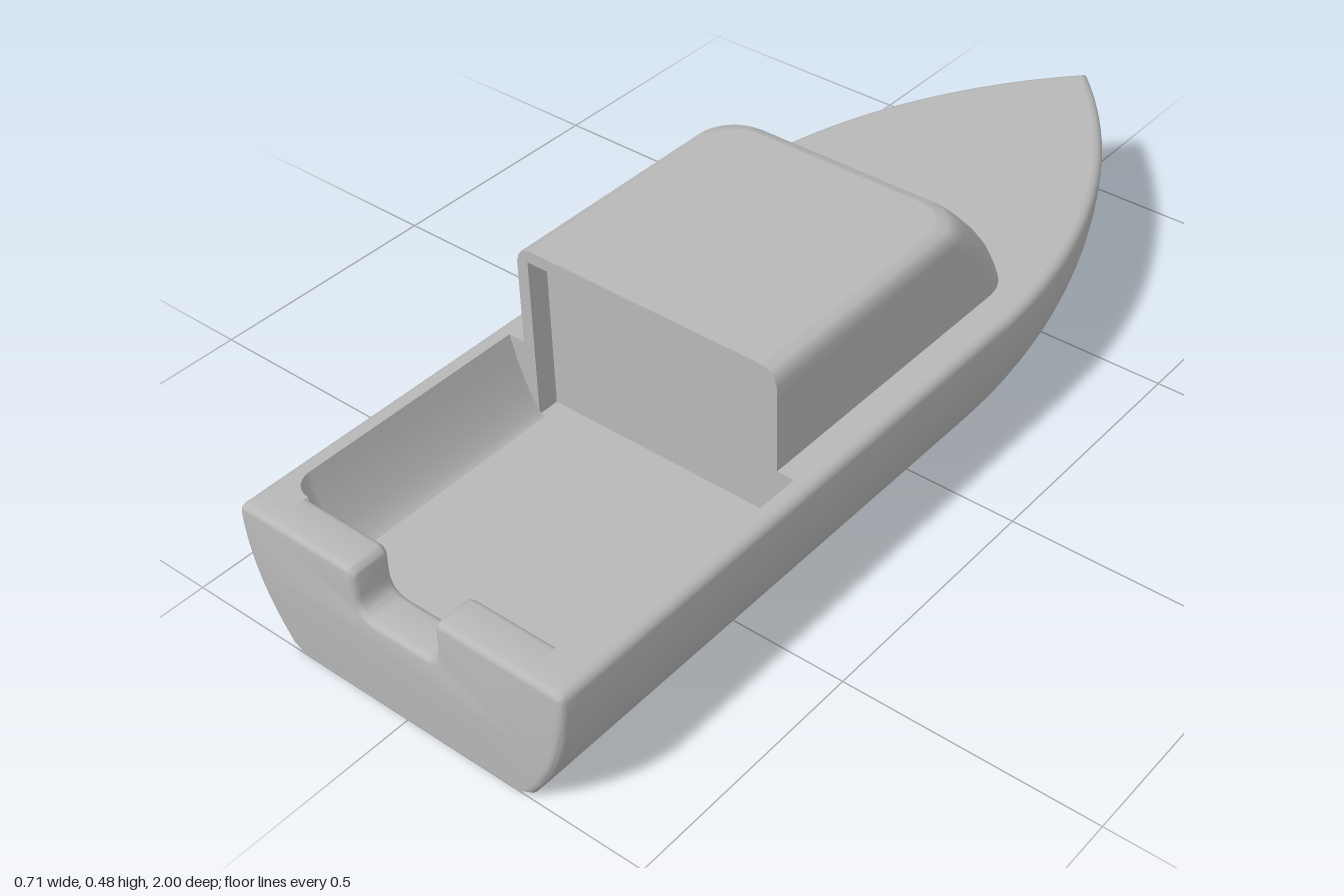
import * as THREE from 'three';
import { toCreasedNormals } from 'three/addons/utils/BufferGeometryUtils.js';

const DECK = 0.272, FLOOR = 0.12, BEAM = 0.355;

// Surface through rows of [x, y, z] points
function loft(rows) {
  const n = rows[0].length, idx = [];
  for (let i = 0; i < rows.length - 1; i++) {
    for (let j = 0; j < n - 1; j++) {
      const a = i * n + j, b = a + 1, c = a + n, d = c + 1;
      idx.push(a, b, d, a, d, c);
    }
  }
  const g = new THREE.BufferGeometry();
  g.setAttribute('position', new THREE.Float32BufferAttribute(rows.flat(2), 3));
  g.setIndex(idx);
  g.computeVertexNormals();
  return g;
}

const mirror = (pts) => pts.map(([x, ...rest]) => [-x, ...rest]).reverse();

// Flat face from [x, y] points
const face = (pts) => new THREE.ShapeGeometry(new THREE.Shape(pts.map(([x, y]) => new THREE.Vector2(x, y))));

// Horizontal face from [x, z] points at height y
const level = (pts, y) => face(pts.map(([x, z]) => [x, -z])).rotateX(-Math.PI / 2).translate(0, y, 0);

// Hull half section: [inset from full beam, height]
function hullProfile(yMin) {
  const R = 0.41, r = 0.018, top = DECK - r, out = [];
  for (let i = 0; i <= 10; i++) {
    const y = yMin + (top - yMin) * i / 10;
    out.push([R - Math.sqrt(R * R - (top - y) ** 2), y]);
  }
  for (let i = 1; i <= 4; i++) {
    const a = i / 4 * Math.PI / 2;
    out.push([r * (1 - Math.cos(a)), top + r * Math.sin(a)]);
  }
  return out;
}

// Half waterline from stern to bow tip: [x, z]
function waterline(inset) {
  const R = 1.195, r = R - inset, cx = BEAM - R, end = Math.acos(-cx / r);
  const pts = [[BEAM - inset, 0.97], [BEAM - inset, 0.4]];
  for (let i = 0; i <= 28; i++) {
    const a = end * i / 28;
    pts.push([Math.max(0, cx + r * Math.cos(a)), -0.15 - r * Math.sin(a)]);
  }
  return pts;
}

// Half cockpit wall with rounded aft corner: [x, z]
function cockpitEdge(w) {
  const r = 0.045, pts = [[w, 0.4]];
  for (let i = 0; i <= 6; i++) {
    const a = i / 6 * Math.PI / 2;
    pts.push([w - r + r * Math.cos(a), 0.875 + r * Math.sin(a)]);
  }
  return pts;
}

// Cabin outline with rounded front corners: [x, z]
function cabinOutline(w, zf, r) {
  const half = [[w, 0.4]];
  for (let i = 0; i <= 8; i++) {
    const a = i / 8 * Math.PI / 2;
    half.push([w - r + r * Math.cos(a), zf + r - r * Math.sin(a)]);
  }
  return [...half, ...mirror(half)];
}

export function createModel() {
  const group = new THREE.Group();
  const grey = new THREE.MeshStandardMaterial({ color: 0xb8b8b8, side: THREE.DoubleSide });
  grey.name = 'hull grey';
  const add = (name, geometry) => {
    const m = new THREE.Mesh(geometry, grey);
    m.name = name;
    group.add(m);
  };

  // Hull sides, meeting in a sharp stem
  const rows = hullProfile(0).map(([o, y]) => waterline(o).map(([x, z]) => [x, y, z]));
  add('leftHullSide', loft(rows));
  add('rightHullSide', loft(rows.map(mirror)));

  // Flat bottom
  const keel = waterline(hullProfile(0)[0][0]);
  add('hullBottom', level([...keel, ...mirror(keel).slice(1)], 0).scale(1, -1, 1));

  // Deck with the cockpit and doorway cut out
  const rim = waterline(0.018);
  const well = [[0.26, 0.355], [0.26, 0.4], ...cockpitEdge(0.32), [0.275, 0.97]];
  add('deck', level([...rim, ...mirror(rim).slice(1), ...mirror(well), ...well], DECK));

  // Transom with a rounded notch
  const s = new THREE.Shape();
  const section = hullProfile(-0.02).map(([o, y]) => [BEAM - o, y]);
  section.forEach(([x, y], i) => (i ? s.lineTo(x, y) : s.moveTo(x, y)));
  s.lineTo(0.108, DECK);
  s.quadraticCurveTo(0.088, DECK, 0.088, 0.25);
  s.lineTo(0.088, 0.212);
  s.quadraticCurveTo(0.086, 0.179, 0.055, 0.179);
  s.lineTo(-0.055, 0.179);
  s.quadraticCurveTo(-0.086, 0.179, -0.088, 0.212);
  s.lineTo(-0.088, 0.25);
  s.quadraticCurveTo(-0.088, DECK, -0.108, DECK);
  mirror(section).forEach(([x, y]) => s.lineTo(x, y));
  const b = 0.012;
  const transom = new THREE.ExtrudeGeometry(s, {
    depth: 0.08 - 2 * b, bevelThickness: b, bevelSize: b, bevelOffset: -b, bevelSegments: 3, curveSegments: 6,
  }).translate(0, 0, 0.92 + b);
  const p = transom.attributes.position;
  for (let i = 0; i < p.count; i++) p.setY(i, Math.max(0, p.getY(i)));
  add('transom', toCreasedNormals(transom, 0.6));

  // Cockpit walls and floor
  const wall = [[0.32, DECK], [0.305, 0.22], [0.282, 0.165], [0.262, 0.13], [0.248, FLOOR]]
    .map(([w, y]) => cockpitEdge(w).map(([x, z]) => [x, y, z]));
  add('leftCockpitWall', loft(wall));
  add('rightCockpitWall', loft(wall.map(mirror)));
  add('cockpitFloor', level([[-0.26, 0.93], [0.26, 0.93], [0.26, 0.355], [-0.26, 0.355]], FLOOR));

  // Cabin shell: [height, front z, inset, corner radius]
  const layers = [
    [0.27, -0.312, 0, 0.09], [0.31, -0.294, 0, 0.09], [0.35, -0.271, 0, 0.09], [0.39, -0.24, 0, 0.09],
    [0.42, -0.212, 0, 0.09], [0.447, -0.186, 0, 0.088], [0.464, -0.168, 0.005, 0.085],
    [0.475, -0.154, 0.014, 0.08], [0.48, -0.135, 0.033, 0.07],
  ];
  add('cabinShell', loft(layers.map(([y, zf, o, r]) => cabinOutline(0.285 - o, zf, r).map(([x, z]) => [x, y, z]))));
  add('cabinRoof', level(cabinOutline(0.252, -0.135, 0.07), 0.48));

  // Frame around the cabin doorway, reaching down to the cockpit
  const edge = [[0.26, FLOOR], [0.282, 0.165], [0.305, 0.22], [0.32, DECK], [0.285, DECK],
    ...layers.slice(5).map(([y, , o]) => [0.285 - o, y])];
  add('doorFrame', face([...edge, ...mirror(edge), [-0.26, 0.455], [0.26, 0.455]]).translate(0, 0, 0.4));

  // Shallow doorway recess with sloping head
  add('bulkhead', face([[-0.26, FLOOR], [0.26, FLOOR], [0.26, 0.41], [-0.26, 0.41]]).translate(0, 0, 0.355));
  add('doorHead', loft([[[-0.26, 0.455, 0.4], [0.26, 0.455, 0.4]], [[-0.26, 0.41, 0.355], [0.26, 0.41, 0.355]]]));
  for (const side of [1, -1]) {
    const x = 0.26 * side;
    add(side > 0 ? 'leftDoorJamb' : 'rightDoorJamb',
      loft([[[x, FLOOR, 0.355], [x, FLOOR, 0.4]], [[x, 0.41, 0.355], [x, 0.455, 0.4]]]));
  }
  return group;
}
